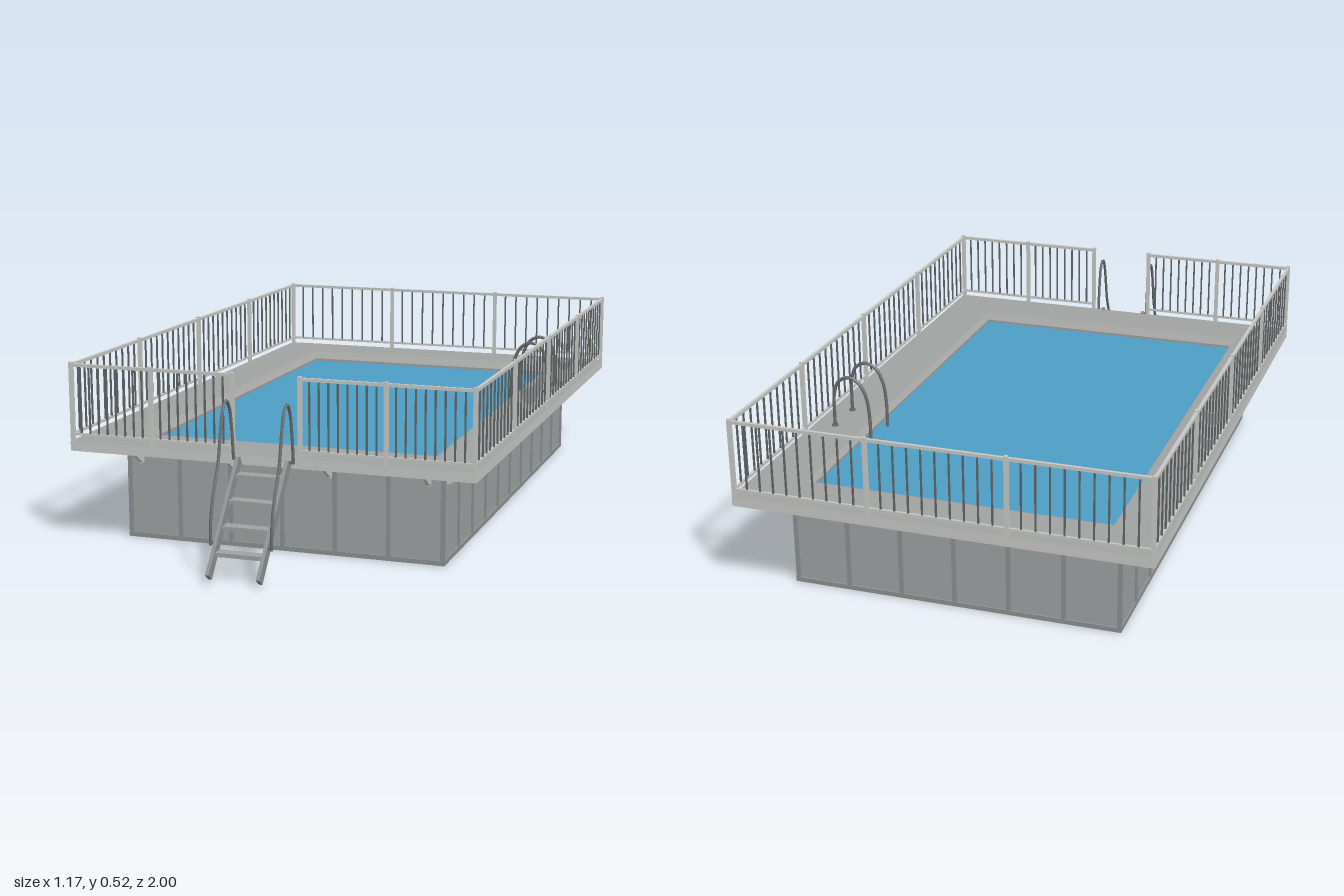
import * as THREE from 'three';

const mat = (name, color, side = THREE.FrontSide) => {
  const m = new THREE.MeshStandardMaterial({ color, side });
  m.name = name;
  return m;
};

export function createModel() {
  const M = {
    light: mat('light grey metal', 0xc8cac6),
    deck: mat('deck grey', 0xa0a3a2),
    panel: mat('wall panel grey', 0x9ea2a2),
    frame: mat('wall frame grey', 0x8c9191),
    dark: mat('baluster grey', 0x626566),
    tube: mat('handrail grey', 0x6a6d6e),
    water: mat('water blue', 0x4e9fc5),
    floor: mat('floor blue', 0x2f6699),
  };
  const CZ = -0.12;                    // pool centre
  const DX = 0.584, DZ = 0.877;        // deck half sizes
  const BX = 0.468, BZ = 0.76;         // wall half sizes
  const OX = 0.436, OZ = 0.728;        // opening half sizes
  const DECK = 0.296, UNDER = 0.268;

  const model = new THREE.Group();
  model.name = 'raisedPool';
  const pool = new THREE.Group();
  pool.name = 'pool';
  pool.position.z = CZ;
  model.add(pool);

  const add = (parent, name, geo, material, x = 0, y = 0, z = 0) => {
    const mesh = new THREE.Mesh(geo, material);
    mesh.name = name;
    mesh.position.set(x, y, z);
    parent.add(mesh);
    return mesh;
  };
  const box = (parent, name, material, w, h, d, x, y, z) =>
    add(parent, name, new THREE.BoxGeometry(w, h, d), material, x, y, z);

  // Bar of square section between two points
  const bar = (parent, name, material, a, b, t) => {
    const dir = b.clone().sub(a), mid = a.clone().add(b).multiplyScalar(0.5);
    const m = box(parent, name, material, t, dir.length(), t, mid.x, mid.y, mid.z);
    m.quaternion.setFromUnitVectors(new THREE.Vector3(0, 1, 0), dir.normalize());
    return m;
  };

  // Rectangular frame lying flat, with a rectangular opening
  const ring = (x, z, ix, iz, h) => {
    const rect = (C, a, b) => new C([[-a, -b], [a, -b], [a, b], [-a, b]].map(p => new THREE.Vector2(...p)));
    const shape = rect(THREE.Shape, x, z);
    shape.holes.push(rect(THREE.Path, ix, iz));
    return new THREE.ExtrudeGeometry(shape, { depth: h, bevelEnabled: false }).rotateX(-Math.PI / 2);
  };

  // Basin, water and deck
  add(pool, 'basinWall', ring(BX - 0.006, BZ - 0.006, OX, OZ, UNDER), M.panel);
  add(pool, 'baseRail', ring(BX, BZ, BX - 0.02, BZ - 0.02, 0.013), M.frame);
  box(pool, 'basinFloor', M.floor, 2 * BX - 0.03, 0.008, 2 * BZ - 0.03, 0, 0.0045, 0);
  box(pool, 'water', M.water, 2 * OX, 0.01, 2 * OZ, 0, 0.255, 0);
  add(pool, 'deck', ring(DX, DZ, OX, OZ, DECK - UNDER), [M.deck, M.light], 0, UNDER, 0);

  // Wall studs: 6 bays across the ends, 10 along the sides
  for (const s of [-1, 1]) {
    for (let i = 0; i <= 6; i++)
      box(pool, 'endStud', M.frame, 0.012, UNDER, 0.008, (BX - 0.006) * (i / 3 - 1), UNDER / 2, s * (BZ - 0.005));
    for (let i = 0; i <= 10; i++)
      box(pool, 'sideStud', M.frame, 0.008, UNDER, 0.012, s * (BX - 0.005), UNDER / 2, (BZ - 0.006) * (i / 5 - 1));
  }

  // Sloping struts under the deck overhang
  const strut = (x, z, ox, oz) => {
    bar(pool, 'deckStrut', M.light, new THREE.Vector3(x, 0.224, z),
      new THREE.Vector3(x + ox * 0.068, 0.27, z + oz * 0.068), 0.009);
    box(pool, 'strutFoot', M.light, 0.01, 0.03, 0.01, x, 0.235, z);
  };
  for (const s of [-1, 1]) {
    for (let i = 0; i < 4; i++) strut(-0.423 + i * 0.282, s * BZ, 0, s);
    for (let i = 0; i < 6; i++) strut(s * BX, -0.718 + i * 0.2872, s, 0);
  }

  // Railing run: posts, top and bottom rails, balusters
  const railing = (name, x0, z0, x1, z1, bays, perBay) => {
    const g = new THREE.Group();
    g.name = name;
    pool.add(g);
    const at = (t, y) => new THREE.Vector3(x0 + (x1 - x0) * t, y, z0 + (z1 - z0) * t);
    bar(g, 'topRail', M.light, at(0, 0.511), at(1, 0.511), 0.009);
    bar(g, 'bottomRail', M.light, at(0, 0.316), at(1, 0.316), 0.007);
    for (let b = 0; b <= bays; b++) {
      bar(g, 'post', M.light, at(b / bays, DECK), at(b / bays, 0.519), 0.011);
      if (b === bays) break;
      for (let i = 1; i < perBay; i++) {
        const t = (b + i / perBay) / bays;
        bar(g, 'baluster', M.dark, at(t, 0.316), at(t, 0.511), 0.0045);
      }
    }
  };
  const RX = DX - 0.006, RZ = DZ - 0.006;
  railing('backRailing', -RX, -RZ, RX, -RZ, 3, 10);
  for (const s of [-1, 1]) {
    railing(s > 0 ? 'leftRailing' : 'rightRailing', s * RX, -RZ, s * RX, RZ, 4, 11);
    railing(s > 0 ? 'frontLeftRailing' : 'frontRightRailing', s * RX, RZ, s * 0.097, RZ, 2, 9);
  }

  const tube = (parent, name, pts, r) => {
    const curve = new THREE.CatmullRomCurve3(pts.map(p => new THREE.Vector3(...p)));
    return add(parent, name, new THREE.TubeGeometry(curve, 36, r, 8), M.tube);
  };

  // Sloping entry ladder with curved handrails
  const ladder = new THREE.Group();
  ladder.name = 'entryLadder';
  model.add(ladder);
  for (const s of [-1, 1]) {
    const stringer = box(ladder, 'stringer', M.frame, 0.01, 0.345, 0.028, s * 0.071, 0.153, 0.881);
    stringer.rotation.x = Math.atan2(-0.215, 0.265);
    const x = s * 0.086;
    tube(ladder, 'handrail', [
      [x, 0.09, 0.937], [x, 0.15, 0.934], [x, 0.21, 0.918], [x, 0.3, 0.878], [x, 0.39, 0.856],
      [x, 0.44, 0.838], [x, 0.455, 0.82], [x, 0.435, 0.798], [x, 0.38, 0.784], [x, 0.29, 0.773],
    ], 0.0045);
    box(ladder, 'lowerBracket', M.tube, 0.022, 0.007, 0.007, s * 0.078, 0.096, 0.935);
    box(ladder, 'upperBracket', M.tube, 0.022, 0.007, 0.007, s * 0.078, 0.288, 0.773);
  }
  for (let i = 0; i < 4; i++)
    box(ladder, 'tread', M.deck, 0.134, 0.011, 0.034, 0, 0.071 + i * 0.0587, 0.937 - i * 0.0485);

  // Arched grab rails at the water's edge
  for (const z of [-0.473, -0.35]) {
    tube(model, 'grabRail', [
      [0.41, 0.25, z], [0.411, 0.34, z], [0.42, 0.4, z], [0.442, 0.44, z], [0.474, 0.453, z],
      [0.505, 0.437, z], [0.52, 0.395, z], [0.522, 0.34, z], [0.522, DECK, z],
    ], 0.005);
    add(model, 'grabRailFlange', new THREE.CylinderGeometry(0.009, 0.009, 0.006, 12), M.tube, 0.522, DECK + 0.003, z);
  }
  return model;
}
